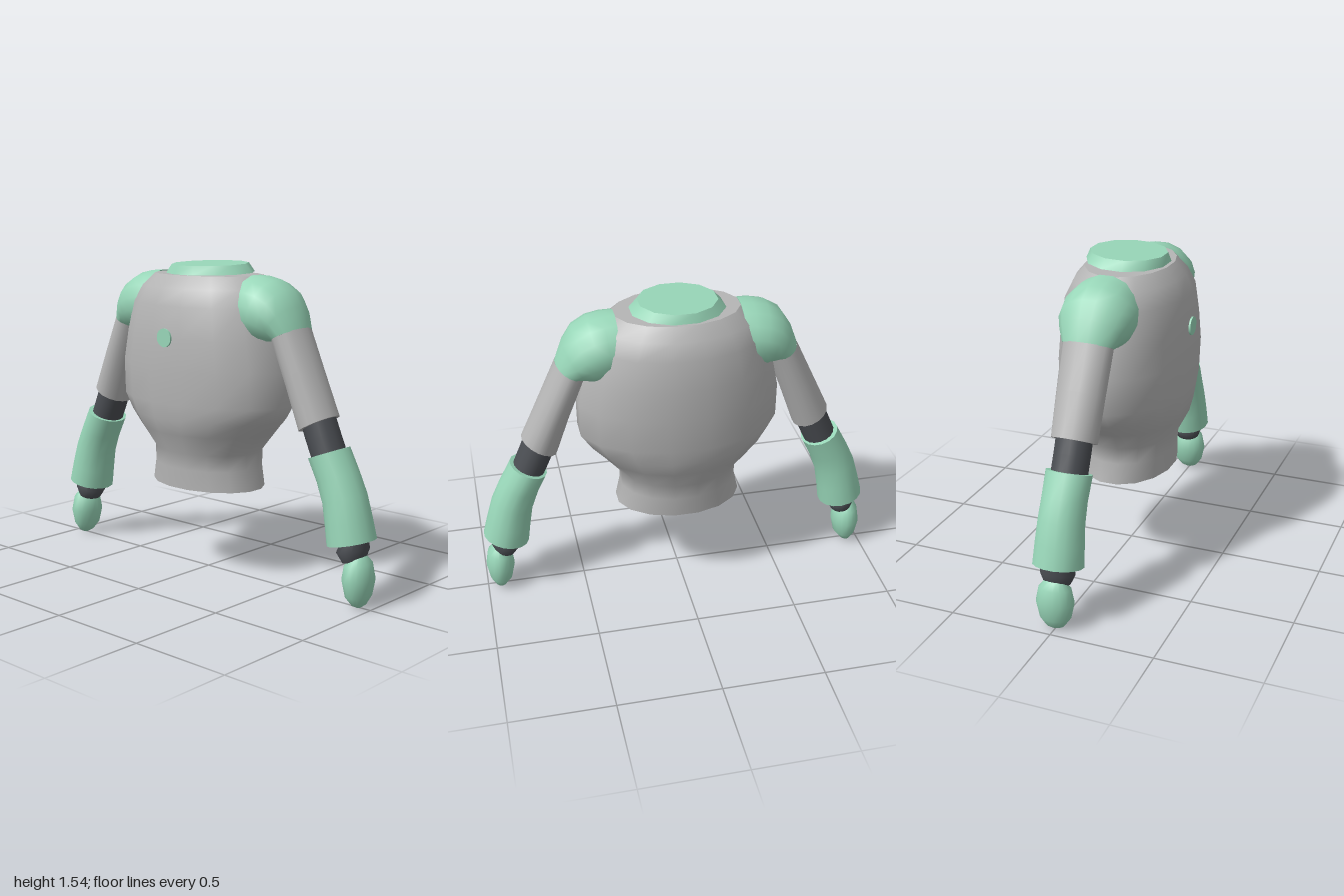
import * as THREE from 'three';

const material = (name, color) => {
  const m = new THREE.MeshStandardMaterial({ color });
  m.name = name;
  return m;
};

// Skin elliptical rings [outerX, outerY, innerX, innerY, halfDepth] with flat end caps.
function loft(rings, sides = 16, z0 = 0) {
  const pos = [], index = [];
  const grow = 1 / Math.cos(Math.PI / sides);
  const addRing = ([ox, oy, ix, iy, depth]) => {
    for (let j = 0; j < sides; j++) {
      const a = ((j + 0.5) / sides) * Math.PI * 2;
      const c = Math.cos(a) * grow * 0.5;
      pos.push((ox + ix) / 2 + (ox - ix) * c, (oy + iy) / 2 + (oy - iy) * c,
        z0 + Math.sin(a) * grow * depth);
    }
  };
  rings.forEach(addRing);
  for (let i = 0; i < rings.length - 1; i++) {
    for (let j = 0; j < sides; j++) {
      const k = (j + 1) % sides;
      const a = i * sides + j, b = i * sides + k;
      index.push(a, b, b + sides, a, b + sides, a + sides);
    }
  }
  // caps use their own vertices so the rims stay sharp
  [rings[0], rings[rings.length - 1]].forEach((ring, end) => {
    const start = pos.length / 3;
    addRing(ring);
    for (let j = 1; j < sides - 1; j++) {
      if (end) index.push(start, start + j, start + j + 1);
      else index.push(start, start + j + 1, start + j);
    }
  });
  const g = new THREE.BufferGeometry();
  g.setAttribute('position', new THREE.Float32BufferAttribute(pos, 3));
  g.setIndex(index);
  g.computeVertexNormals();
  return g;
}

const mirrorRing = ([ox, oy, ix, iy, d]) => [-ix, iy, -ox, oy, d];

export function createModel() {
  const model = new THREE.Group();
  model.name = 'upperBody';
  const grey = material('shellGrey', 0xb5b5b5);
  const green = material('mintGreen', 0x98d6b8);
  const dark = material('jointDark', 0x4a4d52);

  const add = (parent, name, geometry, mat) => {
    const mesh = new THREE.Mesh(geometry, mat);
    mesh.name = name;
    parent.add(mesh);
    return mesh;
  };

  // torso: [height, half width, half depth], top to bottom
  const torso = [
    [1.49, 0.3, 0.2], [1.43, 0.37, 0.25], [1.35, 0.42, 0.288], [1.2, 0.46, 0.305],
    [1.05, 0.49, 0.313], [0.88, 0.488, 0.306], [0.8, 0.435, 0.296], [0.73, 0.37, 0.28],
    [0.63, 0.288, 0.23], [0.55, 0.288, 0.224], [0.45, 0.31, 0.22],
  ].map(([y, w, d]) => [w, y, -w, y, d]);
  add(model, 'torso', loft(torso), grey);

  // neck collar, tipped slightly forward
  const collar = add(model, 'neckCollar', loft([
    [0.185, 1.54, -0.185, 1.54, 0.18],
    [0.223, 1.497, -0.223, 1.497, 0.195],
  ], 12), green);
  collar.rotation.x = 0.03;
  collar.position.z = -0.058;

  // chest button
  const button = add(model, 'chestButton', new THREE.CylinderGeometry(0.045, 0.045, 0.009, 16), green);
  button.rotation.x = Math.PI / 2;
  button.position.set(0, 1.2, 0.313);

  // arm parts, shoulder to hand
  const armParts = [
    ['shoulder', green, [
      [0.3, 1.495, 0.3, 1.17, 0.165], [0.36, 1.492, 0.33, 1.17, 0.175],
      [0.43, 1.477, 0.365, 1.17, 0.178], [0.5, 1.435, 0.4, 1.17, 0.17],
      [0.55, 1.36, 0.43, 1.18, 0.148], [0.587, 1.262, 0.452, 1.195, 0.122],
    ]],
    ['upperArm', grey, [
      [0.587, 1.265, 0.45, 1.195, 0.12], [0.68, 1.067, 0.53, 0.99, 0.114],
      [0.77, 0.875, 0.603, 0.785, 0.108],
    ]],
    ['elbow', dark, [
      [0.745, 0.9, 0.6, 0.84, 0.085], [0.785, 0.805, 0.64, 0.74, 0.085],
      [0.835, 0.69, 0.69, 0.63, 0.085],
    ]],
    ['forearm', green, [
      [0.835, 0.738, 0.66, 0.668, 0.108], [0.893, 0.63, 0.71, 0.565, 0.105],
      [0.937, 0.535, 0.745, 0.47, 0.108], [0.968, 0.43, 0.762, 0.37, 0.114],
      [0.995, 0.33, 0.775, 0.278, 0.118],
    ]],
    ['wrist', dark, [
      [0.955, 0.36, 0.845, 0.315, 0.06], [0.966, 0.285, 0.82, 0.25, 0.082],
      [0.952, 0.235, 0.852, 0.205, 0.062],
    ]],
    ['hand', green, [
      [0.955, 0.25, 0.9, 0.238, 0.045], [0.985, 0.215, 0.866, 0.2, 0.076],
      [0.998, 0.14, 0.857, 0.135, 0.09], [0.985, 0.062, 0.874, 0.057, 0.074],
      [0.962, 0.018, 0.904, 0.018, 0.045], [0.943, 0.003, 0.927, 0.003, 0.015],
    ]],
  ];
  for (const side of ['left', 'right']) {
    const arm = new THREE.Group();
    arm.name = side + 'Arm';
    for (const [name, mat, rings] of armParts) {
      add(arm, name, loft(side === 'left' ? rings : rings.map(mirrorRing), 16, -0.004), mat);
    }
    model.add(arm);
  }
  return model;
}
